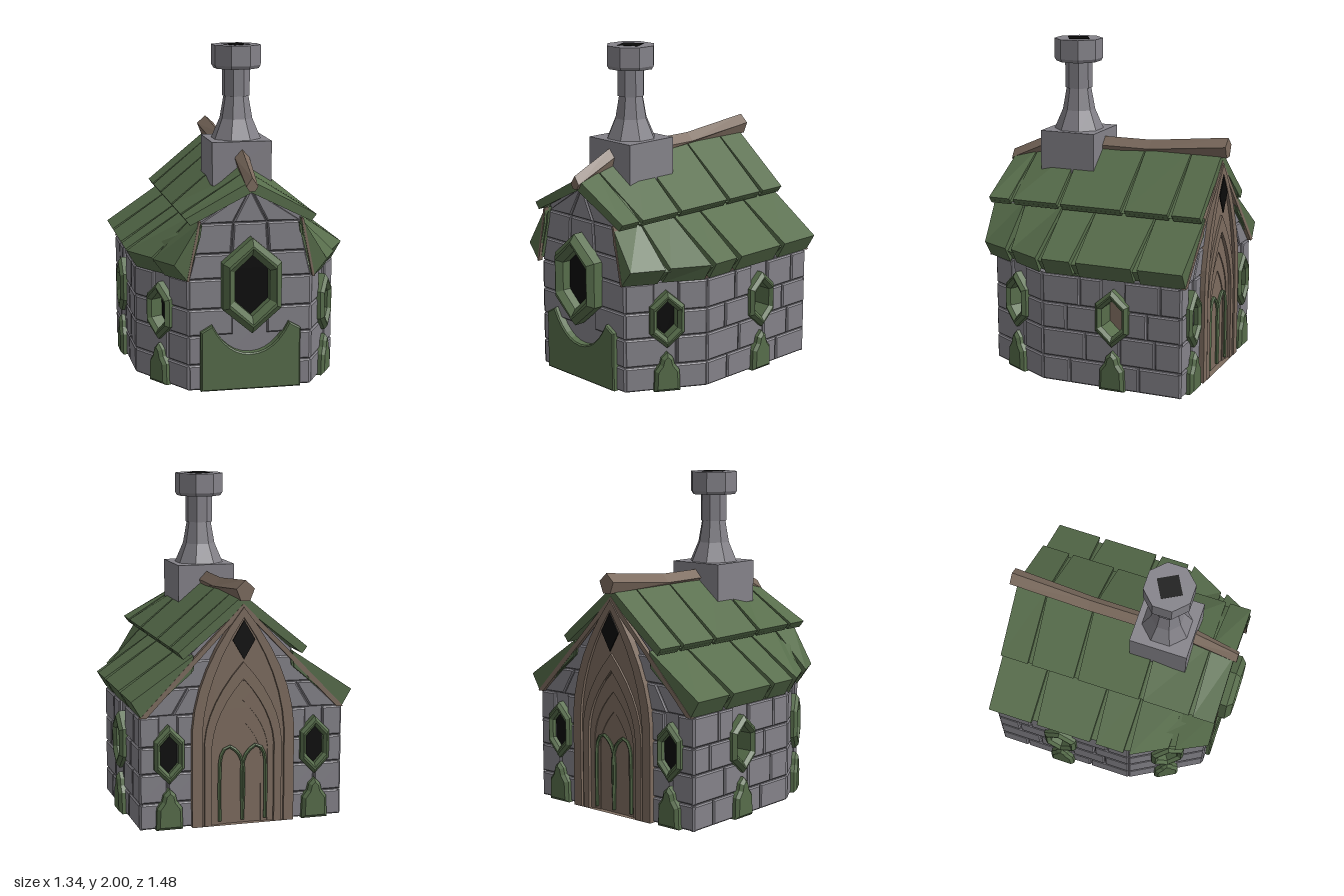
import * as THREE from 'three';

const mat = (name, color) => Object.assign(new THREE.MeshStandardMaterial({ color, flatShading: true }), { name });

export function createModel() {
  const stone = mat('stone', 0x848289), green = mat('mossGreen', 0x576d4b);
  const wood = mat('wood', 0x7d6c5f), black = mat('darkOpening', 0x0a0a0a);
  const root = new THREE.Group();
  root.name = 'chapel';

  const add = (parent, name, geo, material, x = 0, y = 0, z = 0) => {
    const m = new THREE.Mesh(geo, material);
    m.name = name;
    m.position.set(x, y, z);
    parent.add(m);
    return m;
  };
  const frame = (name, x, z, angle) => {
    const g = new THREE.Group();
    g.name = name;
    g.position.set(x, 0, z);
    g.rotation.y = angle;
    root.add(g);
    return g;
  };
  const poly = (pts) => new THREE.Shape(pts.map(([x, y]) => new THREE.Vector2(x, y)));
  // Extrusion whose bevel stays inside the outline and which ends at z = depth
  const slab = (shape, depth, bevel = 0) => new THREE.ExtrudeGeometry(shape, {
    depth: depth - bevel, curveSegments: 6, bevelEnabled: bevel > 0, bevelSegments: 1,
    bevelSize: bevel, bevelThickness: bevel, bevelOffset: -bevel,
  });
  // Rings run back to front, clockwise as seen from the front; side -1 mirrors them
  const loft = (rings, side = 1) => {
    const r = rings.map((ring) => {
      const pts = ring.map(([x, y, z]) => [x * side, y, z]);
      return side < 0 ? pts.reverse() : pts;
    });
    const n = r[0].length, v = [], a = r[0], b = r[r.length - 1];
    for (let k = 0; k + 1 < r.length; k++) {
      for (let i = 0; i < n; i++) {
        const j = (i + 1) % n, p = r[k], q = r[k + 1];
        v.push(p[i], q[i], q[j], p[i], q[j], p[j]);
      }
    }
    for (let i = 1; i < n - 1; i++) v.push(a[0], a[i], a[i + 1], b[0], b[i + 1], b[i]);
    const g = new THREE.BufferGeometry();
    g.setAttribute('position', new THREE.Float32BufferAttribute(v.flat(), 3));
    g.computeVertexNormals();
    return g;
  };

  // One row of bevelled bricks between slanted ends; joints shift from row to row
  const course = (g, y0, y1, [l0, r0], [l1, r1], shift = 0) => {
    const n = Math.max(1, Math.round((r0 - l0) / 0.22)), e = 0.003;
    const cut = (i) => (i === 0 || i === n ? i / n : (i + shift) / n);
    const at = (l, r, t) => l + (r - l) * t;
    for (let i = 0; i < n; i++) {
      const a = cut(i), b = cut(i + 1);
      add(g, 'brick', slab(poly([
        [at(l0, r0, a) + e, y0 + e], [at(l0, r0, b) - e, y0 + e],
        [at(l1, r1, b) - e, y1 - e], [at(l1, r1, a) + e, y1 - e],
      ]), 0.02, 0.008), stone);
    }
  };
  // Four rows of bricks; each row may leave a gap of the given half width around x = c
  const rows = [0, 0.155, 0.33, 0.49, 0.67];
  const wall = (g, w, gaps, c = 0) => gaps.forEach((h, i) => {
    const runs = h ? [[-w, c - h], [c + h, w]] : [[-w, w]];
    for (const run of runs) course(g, rows[i], rows[i + 1], run, run, i % 2 ? 0.25 : -0.2);
  });
  // Mortar face behind the bricks, with an optional window hole
  const mortar = (g, w, holeX) => {
    const shape = poly([[-w, 0], [w, 0], [w, 0.67], [-w, 0.67]]);
    if (holeX !== undefined) shape.holes.push(poly(hex(0.08, 0.14).map(([x, y]) => [x + holeX, y + 0.445])));
    add(g, 'mortar', new THREE.ShapeGeometry(shape), stone);
  };

  // Pointed hexagonal window; recess sinks the pane behind the wall face
  const hex = (w, h) => [[0, -h], [w, -h * 0.48], [w, h * 0.48], [0, h], [-w, h * 0.48], [-w, -h * 0.48]];
  const windowAt = (g, x, y, w, h, depth, pane, recess = 0) => {
    const shape = poly(hex(w, h));
    shape.holes.push(poly(hex(w * 0.6, h * 0.64).reverse()));
    add(g, 'windowFrame', slab(shape, depth + recess, w * 0.19), green, x, y, -recess);
    add(g, 'windowPane', slab(poly(hex(w * 0.66, h * 0.7)), 0.006), pane, x, y, 0.006 - recess);
  };
  const bush = (g, x) => add(g, 'bush', slab(poly([[-0.08, 0], [0.08, 0], [0.075, 0.13],
    [0.045, 0.17], [0.035, 0.21], [0, 0.245], [-0.035, 0.21], [-0.045, 0.17], [-0.075, 0.13]]), 0.06, 0.018), green, x);

  // Front wall, gable stones, round-bottomed panel and large window
  const front = frame('frontWall', 0, 0.62, 0);
  mortar(front, 0.37);
  wall(front, 0.37, [0.28, 0.28, 0.1, 0.1]);
  course(front, 0.67, 0.82, [-0.37, 0.37], [-0.335, 0.335], 0);
  course(front, 0.82, 1.0, [-0.335, 0.335], [-0.3, 0.3], 0);
  course(front, 1.0, 1.19, [-0.3, 0.3], [-0.02, 0.02], 0);
  const panel = poly([[-0.3, 0], [0.3, 0], [0.3, 0.36], [0.23, 0.4]]);
  panel.quadraticCurveTo(0.14, 0.22, 0, 0.22);
  panel.quadraticCurveTo(-0.14, 0.22, -0.23, 0.4);
  panel.lineTo(-0.3, 0.36);
  add(front, 'frontPanel', slab(panel, 0.05, 0.008), green);
  windowAt(front, 0, 0.635, 0.175, 0.285, 0.115, black, -0.015);

  // Gable walls carrying the roof
  const gable = poly([[-0.36, 0.66], [0.36, 0.66], [0.31, 1.03], [0, 1.2], [-0.31, 1.03]]);
  add(root, 'gableCore', slab(gable, 1.28), stone, 0, 0, -0.66);
  const backGable = poly([[-0.6, 0.66], [0.6, 0.66], [0.3, 0.96], [0.3, 1.03], [0, 1.3], [-0.3, 1.03], [-0.3, 0.96]]);
  add(root, 'backGable', slab(backGable, 0.03), stone, 0, 0, -0.675);

  // Side walls and angled front corners
  for (const s of [1, -1]) {
    const side = frame('sideWall', s * 0.6, -0.245, s * Math.PI / 2), x = s * 0.015;
    mortar(side, 0.445, x);
    wall(side, 0.445, [0, 0, 0.07, 0.07], x);
    windowAt(side, x, 0.445, 0.105, 0.175, 0.06, wood, 0.1);
    bush(side, x);
    const corner = frame('cornerWall', s * 0.478, 0.41, s * 1.054);
    mortar(corner, 0.253, 0);
    wall(corner, 0.253, [0, 0, 0.07, 0.07]);
    windowAt(corner, 0, 0.445, 0.105, 0.175, 0.06, black, 0.05);
    bush(corner, 0);
  }

  // Back wall around the doorway
  const back = frame('backWall', 0, -0.67, Math.PI);
  mortar(back, 0.605);
  const both = (y0, y1, [a, b], [c, d]) => {
    course(back, y0, y1, [a, b], [c, d], 0);
    course(back, y0, y1, [-b, -a], [-d, -c], 0);
  };
  for (let i = 0; i < 4; i++) {
    for (const run of i < 2 ? [[0.28, 0.62]] : [[0.28, 0.395], [0.495, 0.62]]) both(rows[i], rows[i + 1], run, run);
  }
  both(0.67, 0.83, [0.25, 0.59], [0.23, 0.43]);
  both(0.83, 0.99, [0.2, 0.43], [0.17, 0.29]);
  for (const x of [-0.445, 0.445]) {
    windowAt(back, x, 0.445, 0.09, 0.175, 0.055, black);
    bush(back, x);
  }

  // Doorway: nested pointed arches stepping inward
  const archPath = (path, w, spring, top) => {
    const midY = spring + (top - spring) * 0.5;
    path.moveTo(-w, 0);
    path.lineTo(w, 0);
    path.lineTo(w, spring);
    path.quadraticCurveTo(w * 0.93, midY, 0, top);
    path.quadraticCurveTo(-w * 0.93, midY, -w, spring);
    path.lineTo(-w, 0);
    return path;
  };
  const arches = [[0.31, 0.58, 1.29], [0.25, 0.56, 1.23], [0.2, 0.5, 0.86], [0.155, 0.45, 0.74], [0.115, 0.4, 0.62]];
  const depths = [0.05, 0.032, 0.026, 0.02, 0.014];
  arches.forEach((a, i) => {
    const shape = archPath(new THREE.Shape(), ...a);
    if (arches[i + 1]) shape.holes.push(archPath(new THREE.Path(), ...arches[i + 1]));
    add(back, i < 4 ? 'doorArch' : 'door', slab(shape, depths[i]), wood);
  });
  const innerArch = archPath(new THREE.Shape(), 0.235, 0.5, 0.97);
  innerArch.holes.push(archPath(new THREE.Path(), 0.19, 0.48, 0.87));
  add(back, 'innerArch', slab(innerArch, 0.045), wood);
  add(back, 'gableOpening', slab(poly([[0, -0.115], [0.068, 0], [0, 0.115], [-0.068, 0]]), 0.006), black, 0, 1.1, 0.046);
  // Green vines over the door leaves, sharing the middle stem
  for (const s of [1, -1]) {
    const vine = new THREE.CatmullRomCurve3([[0, 0.02], [0, 0.36], [0.03, 0.43], [0.09, 0.47], [0.13, 0.42], [0.14, 0.3], [0.14, 0.02]]
      .map(([x, y]) => new THREE.Vector3(s * x, y, 0.026)), false, 'centripetal');
    add(back, 'doorVine', new THREE.TubeGeometry(vine, 24, 0.011, 5), green);
  }

  // Roof: two overlapping tiers of planks with wedge-shaped joints
  const past = (z) => Math.max(0, z - 0.2);
  const ridge = (z) => 1.36 - past(z) * 0.235;
  const upper = (z, g) => [[0, ridge(z), z + g * 0.2], [0.39, 1.04, z + g], [0.36, 1.0, z + g], [0, ridge(z) - 0.07, z + g * 0.2]];
  const lower = (z, g) => [[0.3, 1.02, z + g * 0.2], [0.67 - past(z) * 0.457, 0.77, z + g],
    [0.61 - past(z) * 0.5, 0.67, z + g], [0.31, 0.92, z + g * 0.2]];
  const tiers = [['upperRoofPlank', upper, [-0.71, -0.52, -0.22, 0.2, 0.52, 0.67], 0.014],
    ['lowerRoofPlank', lower, [-0.71, -0.41, -0.02, 0.2, 0.46, 0.67], 0.02]];
  for (const s of [1, -1]) {
    for (const [name, section, joints, wedge] of tiers) {
      const last = joints.length - 1;
      const gap = (i) => (i === 0 || i === last ? 0 : wedge);
      for (let i = 0; i < last; i++) {
        add(root, name, loft([section(joints[i], gap(i)), section(joints[i + 1], -gap(i + 1))], s), green);
      }
      // Backing seen through the joints
      const sunk = (z) => section(z, 0).map(([x, y, w], i) => [x * 0.96, i < 2 ? y - 0.022 : y + 0.01, w]);
      add(root, 'roofBacking', loft([-0.7, 0.2, 0.655].map(sunk), s), green);
    }
    // Wooden trim at both gables
    const trim = [[s * 0.298, 1.02], [s * 0.312, 1.02], [s * 0.382, 0.67], [s * 0.368, 0.67]];
    add(root, 'frontTrim', slab(poly(trim), 0.03), wood, 0, 0, 0.643);
    const backTrim = [[0, 1.31], [0, 1.27], [s * 0.58, 0.67], [s * 0.62, 0.67]];
    add(root, 'backTrim', slab(poly(backTrim), 0.025), wood, 0, 0, -0.712);
  }

  // Ridge beam, kicking up at the back and dipping at the front
  const beam = [[-0.745, 0.055, 1.45, 1.33], [-0.25, 0.048, 1.4, 1.33], [0.4, 0.045, 1.4, 1.27], [0.69, 0.035, 1.27, 1.19]];
  add(root, 'ridgeBeam', loft(beam.map(([z, w, t, b]) =>
    [[0, t, z], [w, t - 0.05, z], [w * 0.5, b, z], [-w * 0.5, b, z], [-w, t - 0.05, z]])), wood);

  // Chimney: block, flared neck, shaft and cap
  add(root, 'chimneyBase', new THREE.BoxGeometry(0.36, 0.26, 0.355), stone, 0, 1.31, 0.235);
  const stack = [[1.44, 1.56, 0.152, 0.1], [1.56, 1.695, 0.1, 0.076], [1.695, 1.86, 0.084, 0.084],
    [1.86, 1.88, 0.138, 0.15], [1.88, 2.0, 0.15, 0.15]];
  for (const [y0, y1, r0, r1] of stack) {
    const part = add(root, 'chimneyStack', new THREE.CylinderGeometry(r1, r0, y1 - y0, 8), stone, 0, (y0 + y1) / 2, 0.235);
    part.rotation.y = Math.PI / 8;
  }
  add(root, 'chimneyOpening', new THREE.BoxGeometry(0.125, 0.006, 0.125), black, 0, 1.999, 0.235).rotation.y = 0.5;

  // Floor boards under the open shell
  add(root, 'floor', new THREE.BoxGeometry(0.7, 0.006, 0.75), wood, 0, 0.005, -0.28);
  add(root, 'floorOpening', new THREE.BoxGeometry(0.3, 0.004, 0.3), black, 0, 0.002, -0.06);
  return root;
}
